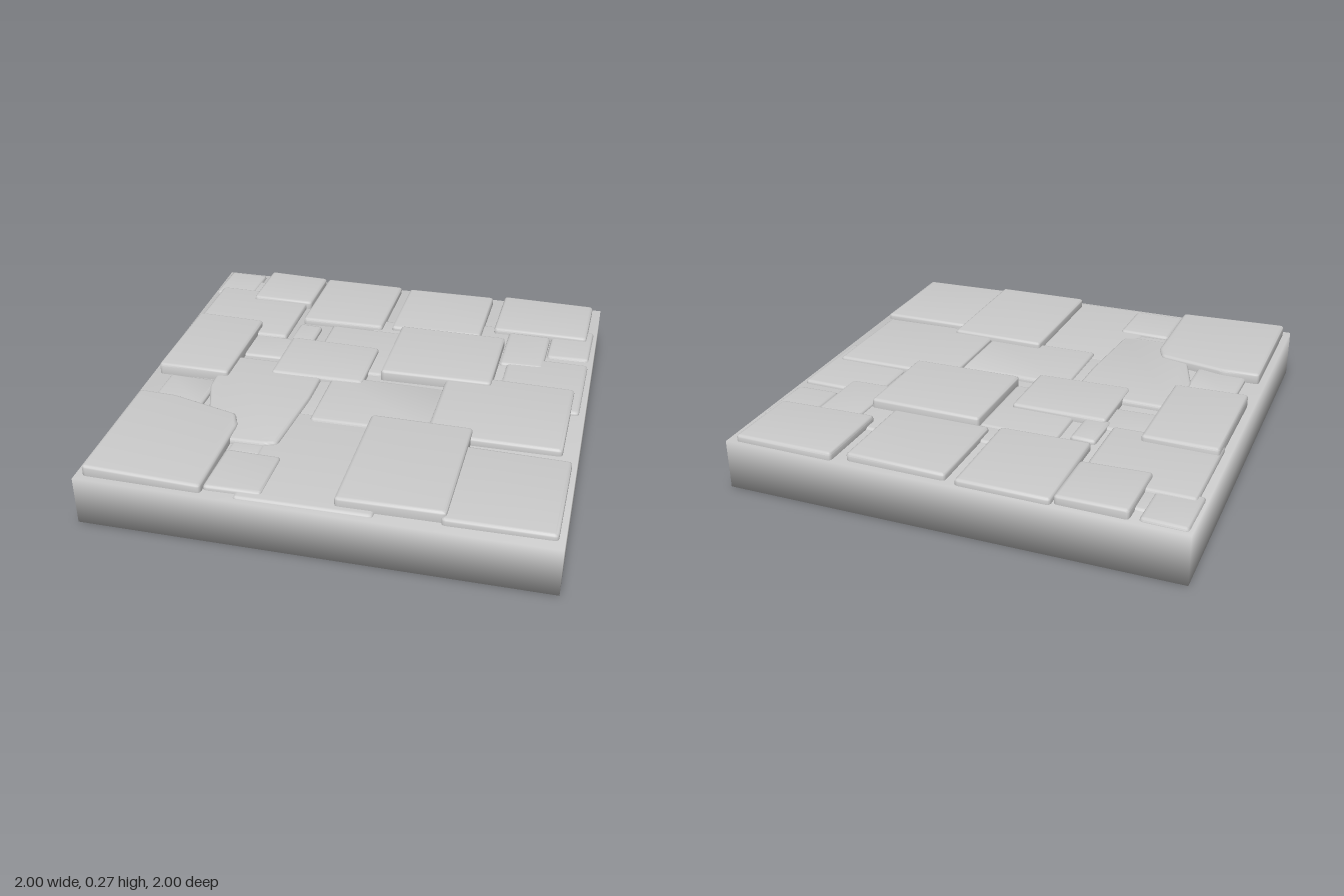
import * as THREE from 'three';
import { mergeVertices, toCreasedNormals } from 'three/addons/utils/BufferGeometryUtils.js';

const material = new THREE.MeshStandardMaterial({ color: 0xcccccc });
const FOOT = 0.19; // paving stones are sunk slightly into the slab

// Outline with slightly rounded corners; points are [x, z].
function roundedOutline(points, r) {
  const shape = new THREE.Shape();
  const v = points.map(([x, z]) => new THREE.Vector2(x, -z));
  v.forEach((p, i) => {
    const prev = v[(i + v.length - 1) % v.length];
    const next = v[(i + 1) % v.length];
    const a = p.clone().add(prev.clone().sub(p).setLength(r));
    const b = p.clone().add(next.clone().sub(p).setLength(r));
    if (i === 0) shape.moveTo(a.x, a.y);
    else shape.lineTo(a.x, a.y);
    shape.quadraticCurveTo(p.x, p.y, b.x, b.y);
  });
  shape.closePath();
  return shape;
}

// Flat stone with a softened rim; its top leans by slopeX and slopeZ.
function stone(points, top, slopeX = 0, slopeZ = 0) {
  const bevel = 0.012;
  let geo = new THREE.ExtrudeGeometry(roundedOutline(points, 0.018), {
    depth: top - FOOT - 2 * bevel,
    bevelThickness: bevel,
    bevelSize: 0.016,
    bevelOffset: -0.016,
    bevelSegments: 3,
    curveSegments: 3,
  });
  geo.rotateX(-Math.PI / 2);
  geo.translate(0, FOOT + bevel, 0);
  geo.computeBoundingBox();
  const c = geo.boundingBox.getCenter(new THREE.Vector3());
  const pos = geo.attributes.position;
  for (let i = 0; i < pos.count; i++) {
    const lean = slopeX * (pos.getX(i) - c.x) + slopeZ * (pos.getZ(i) - c.z);
    pos.setY(i, pos.getY(i) + lean);
  }
  geo = toCreasedNormals(geo, 0.9);
  const mesh = new THREE.Mesh(geo, material);
  mesh.name = 'pavingStone';
  return mesh;
}

// Rectangular stones: [x0, z0, x1, z1, top, slopeX, slopeZ]
const backRow = [
  [-0.99, -0.98, -0.79, -0.73, 0.235],
  [-0.76, -0.98, -0.45, -0.67, 0.26, -0.015, 0],
  [-0.45, -0.99, -0.04, -0.51, 0.25, 0, 0.01],
  [0.0, -0.97, 0.45, -0.53, 0.252, 0.01, 0],
  [0.5, -0.99, 0.96, -0.62, 0.252, -0.01, 0],
  [-0.97, -0.78, -0.48, -0.32, 0.244],
  [0.57, -0.63, 0.78, -0.31, 0.24],
  [0.78, -0.74, 0.985, -0.44, 0.233],
];
const middleRow = [
  [-0.97, -0.42, -0.63, 0.12, 0.272, -0.01, 0],
  [0.05, -0.52, 0.57, -0.06, 0.27],
  [-0.45, -0.31, -0.01, 0.035, 0.254, -0.01, 0],
  [0.35, -0.14, 0.94, 0.385, 0.254, -0.01, 0],
  [0.6, -0.4, 0.98, 0.05, 0.237],
  [-0.17, -0.02, 0.36, 0.37, 0.243],
  [-0.91, 0.135, -0.67, 0.4, 0.239],
];
const frontRow = [
  [-0.455, 0.67, -0.205, 0.95, 0.241],
  [0.09, 0.31, 0.545, 0.945, 0.27],
  [0.52, 0.43, 0.98, 0.955, 0.249, -0.01, 0],
  [-0.32, 0.31, 0.26, 0.98, 0.231],
];
// Low stones showing in the gaps
const fillers = [
  [-0.3, -0.51, 0.06, -0.08, 0.235],
  [-0.46, -0.48, -0.34, -0.28, 0.24],
  [-0.65, -0.34, -0.42, -0.13, 0.231],
  [-0.1, -0.63, 0.08, -0.45, 0.229],
  [-0.82, -0.91, -0.7, -0.7, 0.23],
  [0.4, -0.7, 0.62, -0.15, 0.228],
  [-0.45, 0.55, -0.3, 0.68, 0.229],
  [-0.25, 0.0, -0.1, 0.34, 0.23],
];

// Stones with a broken or tapered outline: [points, top, slopeX, slopeZ]
const irregular = [
  [[[-0.97, 0.345], [-0.8, 0.345], [-0.49, 0.42], [-0.455, 0.5], [-0.455, 0.975], [-0.97, 0.97]], 0.263, -0.025, 0],
  [[[-0.7, -0.08], [-0.21, -0.08], [-0.215, 0.2], [-0.25, 0.585], [-0.3, 0.605], [-0.55, 0.61], [-0.69, 0.2]], 0.246, 0, 0],
];

export function createModel() {
  const group = new THREE.Group();
  group.name = 'pavedFloorTile';

  // Slab with normals blended across its edges
  let slabGeo = new THREE.BoxGeometry(2, 0.22, 2);
  slabGeo.deleteAttribute('normal');
  slabGeo.deleteAttribute('uv');
  slabGeo = mergeVertices(slabGeo);
  slabGeo.computeVertexNormals();
  slabGeo.translate(0, 0.11, 0);
  const slab = new THREE.Mesh(slabGeo, material);
  slab.name = 'baseSlab';
  group.add(slab);

  // Overlapping paving stones
  const rows = { backStones: backRow, middleStones: middleRow, frontStones: frontRow, gapStones: fillers };
  for (const [name, list] of Object.entries(rows)) {
    const row = new THREE.Group();
    row.name = name;
    for (const [x0, z0, x1, z1, top, sx, sz] of list) {
      // corners run counter-clockwise seen from above, a little out of square
      const k = 0.006;
      row.add(stone([[x0, z1], [x1 - k, z1 - k], [x1, z0 + k], [x0 + k, z0]], top, sx, sz));
    }
    group.add(row);
  }
  const broken = new THREE.Group();
  broken.name = 'brokenStones';
  for (const args of irregular) broken.add(stone(...args));
  group.add(broken);

  return group;
}
